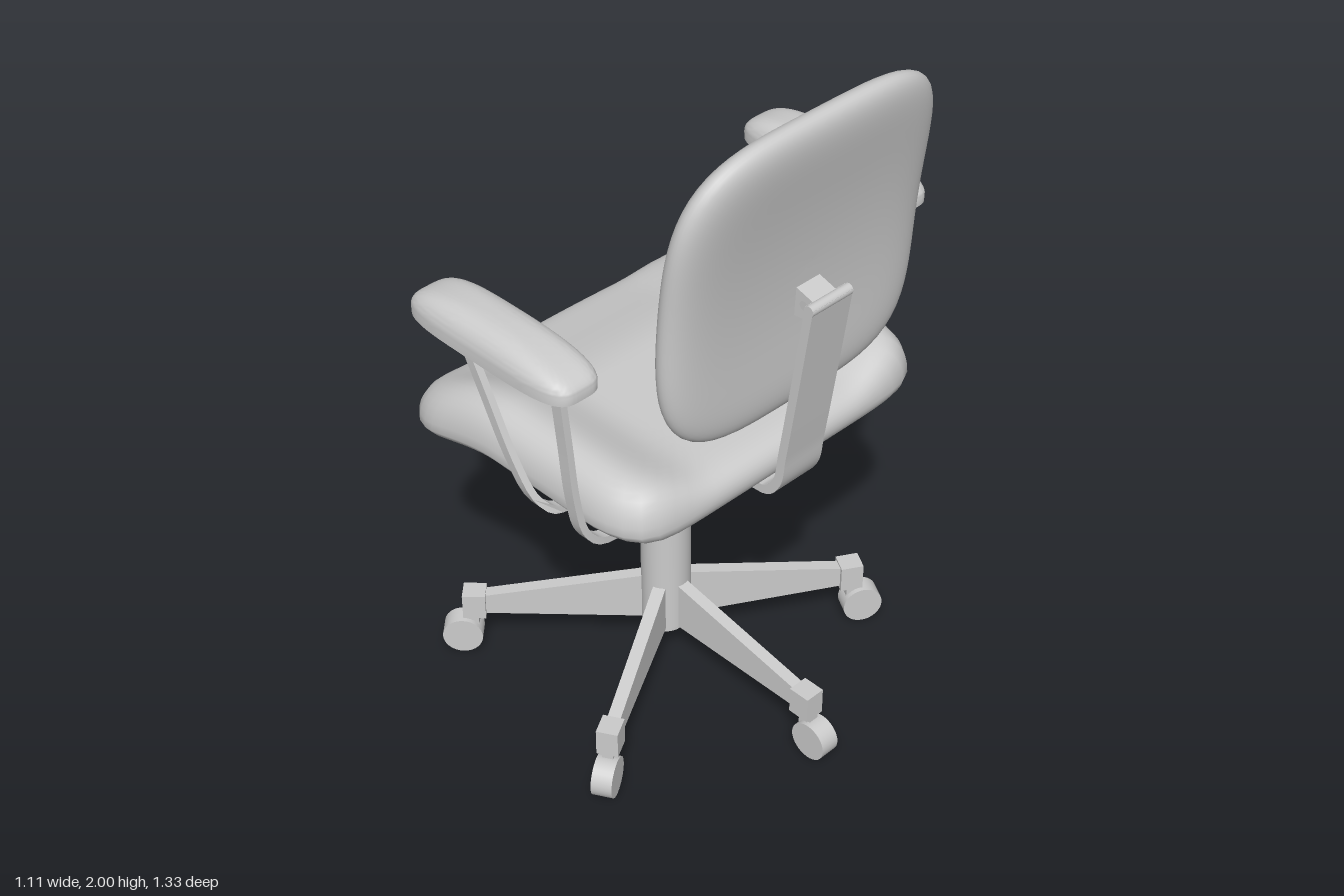
import * as THREE from 'three';
import { toCreasedNormals } from 'three/addons/utils/BufferGeometryUtils.js';

const material = new THREE.MeshStandardMaterial({ color: 0xcccccc });
const smooth = THREE.MathUtils.smoothstep;

function add(parent, name, geometry, x = 0, y = 0, z = 0) {
  const mesh = new THREE.Mesh(geometry, material);
  mesh.name = name;
  mesh.position.set(x, y, z);
  parent.add(mesh);
  return mesh;
}

// Closed cushion on a superellipse outline (power n); m sets how tight the rim is.
// place(u, v, h) maps outline coordinates and height (-1..1) to a point.
function cushion(halfU, halfV, n, m, place) {
  const rows = 40, cols = 96, pos = [], index = [];
  for (let i = 0; i <= rows; i++) {
    const phi = (i / rows) * Math.PI;
    const s = Math.min(1, Math.sin(phi));
    const h = Math.sign(rows / 2 - i) * Math.sqrt(Math.max(0, 1 - s ** m));
    for (let j = 0; j < cols; j++) {
      const t = (j / cols) * 2 * Math.PI, c = Math.cos(t), d = Math.sin(t);
      const r = s / (Math.abs(c) ** n + Math.abs(d) ** n) ** (1 / n);
      pos.push(...place(halfU * r * c, halfV * r * d, h));
      if (i === rows) continue;
      const k = (j + 1) % cols, a = i * cols, b = a + cols;
      index.push(a + j, b + k, b + j, a + j, a + k, b + k);
    }
  }
  const g = new THREE.BufferGeometry();
  g.setAttribute('position', new THREE.Float32BufferAttribute(pos, 3));
  g.setIndex(index);
  g.computeVertexNormals();
  return g;
}

// Extrude a shape, centred on z
function slab(shape, depth) {
  return new THREE.ExtrudeGeometry(shape, { depth, bevelEnabled: false, curveSegments: 20 })
    .translate(0, 0, -depth / 2);
}

// Flat bar of a given thickness following a path in the xy plane
function bentBar(points, thickness, width) {
  const curve = new THREE.CatmullRomCurve3(points.map(([x, y]) => new THREE.Vector3(x, y, 0)));
  const left = [], right = [];
  for (let i = 0; i <= 80; i++) {
    const p = curve.getPointAt(i / 80), t = curve.getTangentAt(i / 80);
    const dx = -t.y * thickness / 2, dy = t.x * thickness / 2;
    left.push(new THREE.Vector2(p.x + dx, p.y + dy));
    right.unshift(new THREE.Vector2(p.x - dx, p.y - dy));
  }
  return toCreasedNormals(slab(new THREE.Shape([...left, ...right]), width), 0.6);
}

// Bar running under the seat and up to both arm pads, leaning along x
function armBar(x0, slope, width) {
  const half = [[0.42, 0.853], [0.49, 0.868], [0.535, 0.92], [0.555, 1.02], [0.565, 1.2], [0.575, 1.39]];
  const path = [...half.map(([z, y]) => [-z, y]).reverse(), [-0.2, 0.85], [0.2, 0.85], ...half];
  const g = bentBar(path, 0.02, width).rotateY(-Math.PI / 2);
  const p = g.attributes.position;
  for (let i = 0; i < p.count; i++) {
    p.setX(i, p.getX(i) + x0 + slope * Math.max(0, p.getY(i) - 0.87));
  }
  return toCreasedNormals(g, 0.6);
}

export function createModel() {
  const chair = new THREE.Group();
  chair.name = 'officeChair';
  const columnX = -0.08;

  // Five-legged base with casters
  const wedge = new THREE.Shape([[0, 0.14], [0.53, 0.14], [0.53, 0.2], [0.06, 0.29], [0, 0.29]]
    .map(([x, y]) => new THREE.Vector2(x, y)));
  for (const angle of [0, 60, -60, 136, -136]) {
    const leg = new THREE.Group();
    leg.name = 'baseLeg';
    leg.position.x = columnX;
    leg.rotation.y = THREE.MathUtils.degToRad(angle);
    add(leg, 'legBeam', slab(wedge, 0.036));
    add(leg, 'casterSocket', new THREE.BoxGeometry(0.065, 0.08, 0.06), 0.54, 0.17);
    add(leg, 'casterStem', new THREE.BoxGeometry(0.04, 0.06, 0.03), 0.55, 0.11);
    add(leg, 'casterWheel', new THREE.CylinderGeometry(0.057, 0.057, 0.058, 32).rotateX(Math.PI / 2), 0.577, 0.06);
    chair.add(leg);
  }

  // Gas-lift column
  add(chair, 'columnFoot', new THREE.CylinderGeometry(0.055, 0.055, 0.04, 32), columnX, 0.135);
  add(chair, 'columnSleeve', new THREE.CylinderGeometry(0.07, 0.07, 0.395, 40), columnX, 0.3375);
  add(chair, 'columnPiston', new THREE.CylinderGeometry(0.055, 0.055, 0.32, 40), columnX, 0.67);
  add(chair, 'seatMount', new THREE.BoxGeometry(0.135, 0.085, 0.14), columnX, 0.848);

  // Seat: drooping front lip, raised sides
  add(chair, 'seat', cushion(0.465, 0.535, 10, 12, (u, v, h) => {
    const x = u - 0.095 + 0.025 * (v / 0.535) ** 2 * smooth(-u, 0.2, 0.46);
    const z = v * (1 - 0.03 * smooth(Math.abs(u), 0.3, 0.46)) * (h < 0 ? 1 + 0.06 * h : 1);
    const droop = 0.075 * (1 - smooth(x, -0.55, -0.15));
    const bolster = 0.065 * smooth(Math.abs(z), 0.24, 0.47) * (1 - 0.5 * smooth(-x, 0.3, 0.55));
    return [x, 0.955 - droop + (h > 0 ? (0.067 + bolster) * h : 0.068 * h), z];
  }));

  // Backrest, curving backwards towards the top
  add(chair, 'backrest', cushion(0.435, 0.43, 4, 8, (u, v, h) => {
    const y = v + 1.57;
    return [0.35 + 0.22 * (y - 1.35) ** 2 + 0.056 * h, y, u];
  }));

  // Back strut and its pierced lug
  add(chair, 'backStrut', bentBar([[-0.14, 0.875], [0.1, 0.875], [0.3, 0.875], [0.36, 0.884], [0.395, 0.93],
    [0.41, 1.02], [0.445, 1.25], [0.481, 1.5]], 0.026, 0.14));
  add(chair, 'strutTop', new THREE.CylinderGeometry(0.015, 0.015, 0.14, 20).rotateX(Math.PI / 2), 0.48, 1.492);
  const lug = new THREE.Shape([[0.39, 1.53], [0.41, 1.515], [0.475, 1.495], [0.465, 1.45], [0.435, 1.435], [0.39, 1.43]]
    .map(([x, y]) => new THREE.Vector2(x, y)));
  lug.holes.push(new THREE.Path().absarc(0.437, 1.473, 0.013, 0, Math.PI * 2, true));
  add(chair, 'backrestLug', slab(lug, 0.08));

  // Arm supports and pads
  add(chair, 'frontArmBar', armBar(0.02, -0.45, 0.032));
  add(chair, 'rearArmBar', armBar(0.183, -0.065, 0.034));
  const padGeometry = toCreasedNormals(cushion(0.285, 0.087, 4, 3,
    (u, v, h) => [u, h < 0 ? 0 : 0.022 + (0.07 - 0.012 * smooth(u, 0, 0.28)) * h, v]), 0.7);
  for (const side of [1, -1]) {
    add(chair, side > 0 ? 'leftArmPad' : 'rightArmPad', padGeometry, -0.035, 1.38, side * 0.577);
  }
  return chair;
}
